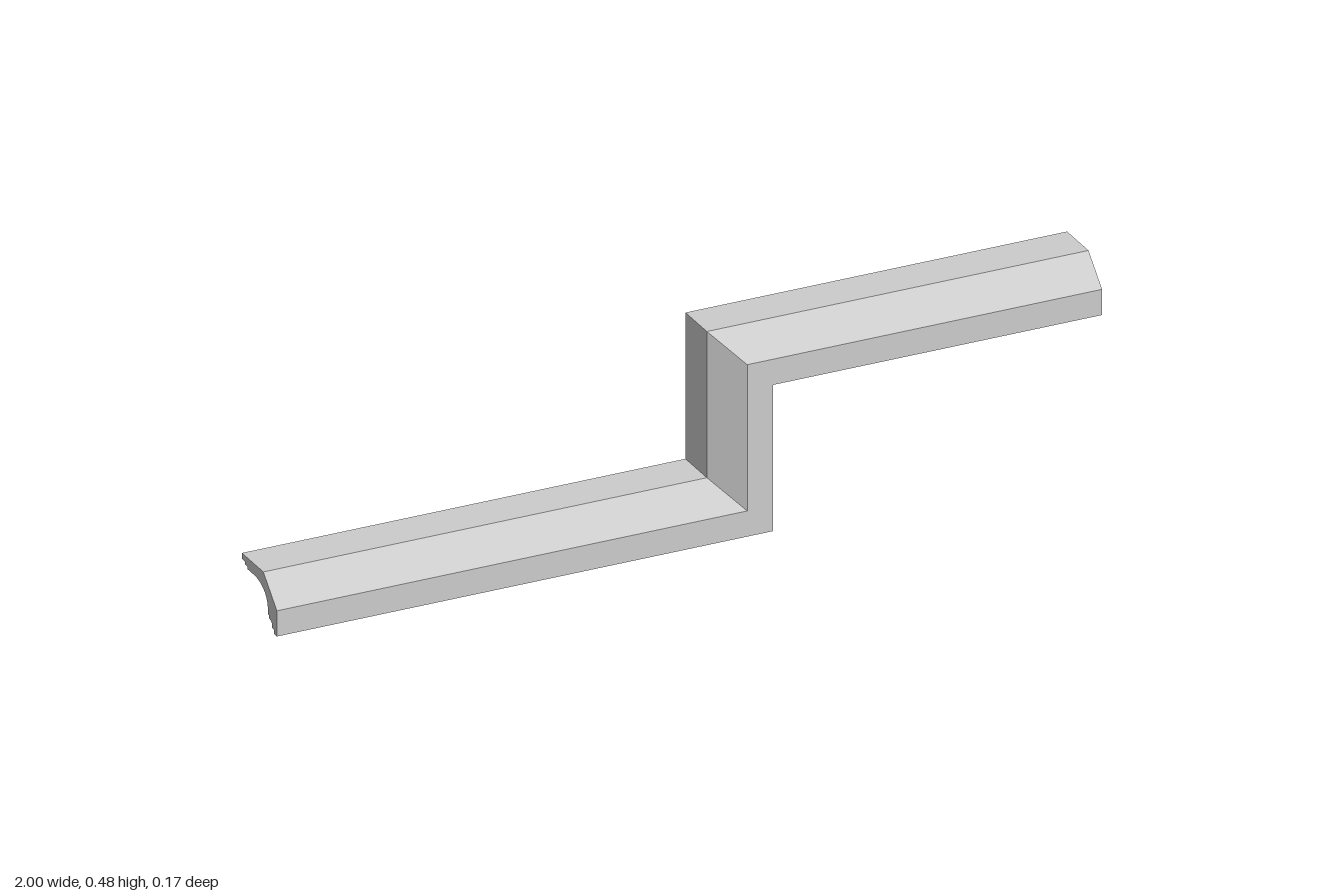
import * as THREE from 'three';
import { toCreasedNormals } from 'three/addons/utils/BufferGeometryUtils.js';

// Quarter-ellipse hollow: leaves (z0, y0) vertically, arrives at (z1, y1) level
function cove(z0, y0, z1, y1, steps) {
  const points = [];
  for (let i = 0; i <= steps; i++) {
    const t = (i / steps) * Math.PI / 2;
    points.push([z1 + (z0 - z1) * Math.cos(t), y0 + (y1 - y0) * Math.sin(t)]);
  }
  return points;
}

// Moulding cross-section as [z, height above the lower edge]
const HEIGHT = 0.127;
const profile = [
  [0.087, 0], [0.072, 0], [0.072, 0.01], [0.063, 0.01],
  ...cove(0.063, 0.017, 0.048, 0.027, 6),
  [0.048, 0.035], [0.042, 0.035],
  ...cove(0.042, 0.048, -0.025, 0.1, 16),
  [-0.058, 0.1], [-0.058, 0.106], [-0.071, 0.106], [-0.071, 0.113], [-0.086, 0.113],
  [-0.086, HEIGHT], [0.02, HEIGHT], [0.087, 0.062],
];

// Stepped path of the top edge: [x, y, mitre], mitre = x shift per unit of depth
const path = [
  [-1, 0.127, 0],
  [0.075, 0.127, 1],
  [0.075, 0.48, 1],
  [1, 0.48, 0],
];

function mouldingGeometry() {
  const sections = path.map(([x, y, mitre]) =>
    profile.map(([z, h]) => [x + mitre * (HEIGHT - h), y - (HEIGHT - h), z]));
  const positions = [];
  const triangle = (a, b, c) => positions.push(...a, ...b, ...c);

  // Long faces between neighbouring sections
  const n = profile.length;
  for (let i = 0; i < sections.length - 1; i++) {
    for (let j = 0; j < n; j++) {
      const k = (j + 1) % n;
      const s = sections[i], e = sections[i + 1];
      triangle(s[j], s[k], e[k]);
      triangle(s[j], e[k], e[j]);
    }
  }

  // Flat ends
  const contour = profile.map(([z, h]) => new THREE.Vector2(z, h));
  const first = sections[0], last = sections[sections.length - 1];
  for (const [a, b, c] of THREE.ShapeUtils.triangulateShape(contour, [])) {
    const ccw = THREE.ShapeUtils.area([contour[a], contour[b], contour[c]]) > 0;
    const [p, q] = ccw ? [b, c] : [c, b];
    triangle(first[a], first[p], first[q]);
    triangle(last[a], last[q], last[p]);
  }

  const geometry = new THREE.BufferGeometry();
  geometry.setAttribute('position', new THREE.Float32BufferAttribute(positions, 3));
  return toCreasedNormals(geometry, 0.45);
}

export function createModel() {
  const group = new THREE.Group();
  group.name = 'steppedCornice';
  const moulding = new THREE.Mesh(
    mouldingGeometry(),
    new THREE.MeshStandardMaterial({ color: 0xcccccc }),
  );
  moulding.name = 'moulding';
  group.add(moulding);
  return group;
}
